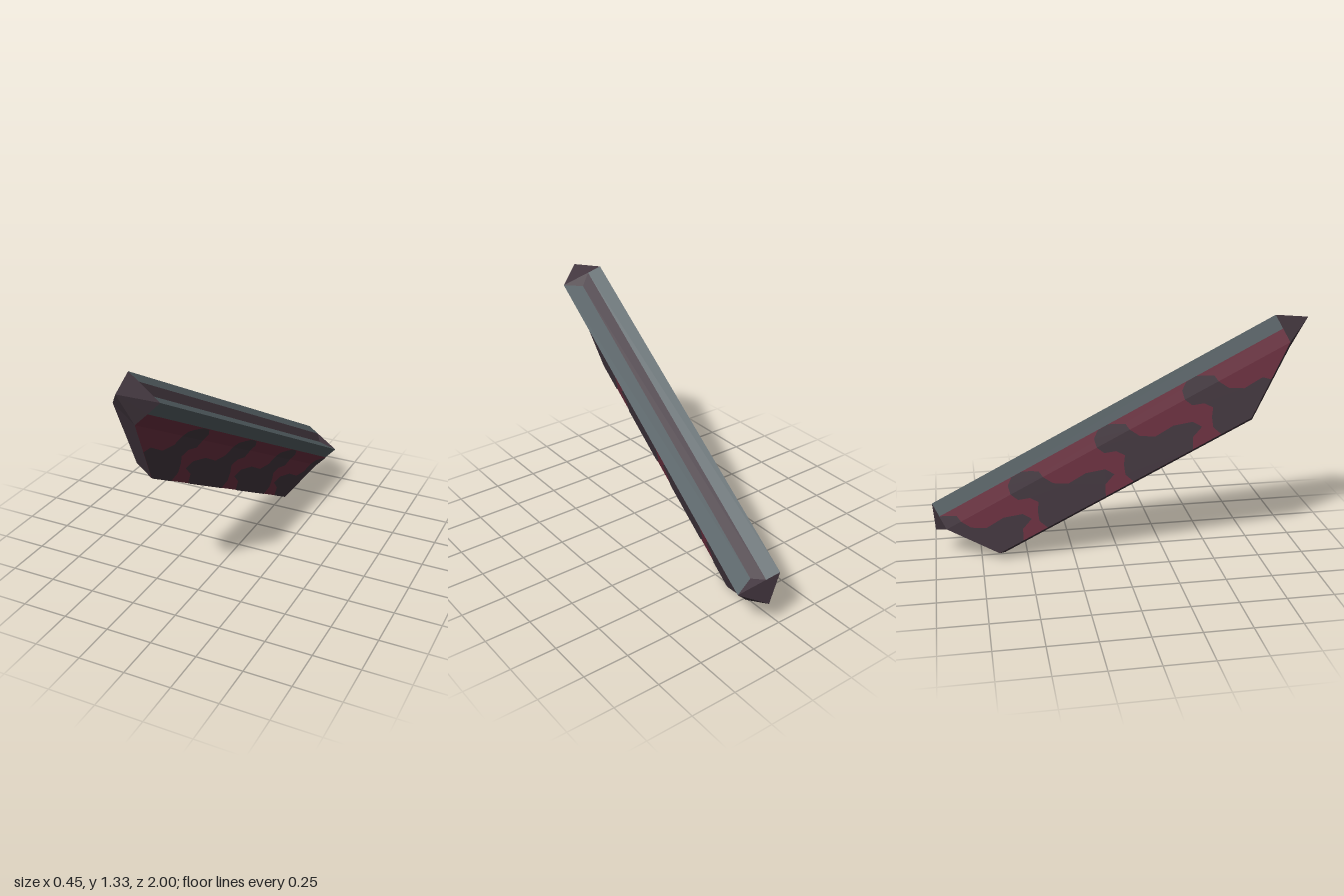
import * as THREE from 'three';

export function createModel() {
  const root = new THREE.Group();
  root.name = 'tiltedBar';
  const mat = (name, color) => {
    const m = new THREE.MeshStandardMaterial({ color });
    m.name = name;
    return m;
  };
  const grey = mat('slateGrey', 0x566165);
  const red = mat('darkRed', 0x6c3040);
  const purple = mat('duskyPurple', 0x43373f);

  // Bar frame: local x is width, y is up out of the top face, z runs to the front tip
  const front = new THREE.Vector3(-0.091, 0.485, 0.87).normalize();
  const across = new THREE.Vector3(0.88, -0.385, 0.307);
  across.addScaledVector(front, -across.dot(front)).normalize();
  const up = new THREE.Vector3().crossVectors(front, across);
  const bar = new THREE.Group();
  bar.name = 'bar';
  bar.applyMatrix4(new THREE.Matrix4().makeBasis(across, up, front).setPosition(0, 0.66, 0));
  root.add(bar);

  // Flat-faced mesh from convex polygons
  function addFaces(name, material, polygons) {
    const pos = [];
    for (const p of polygons)
      for (let i = 1; i < p.length - 1; i++) pos.push(...p[0], ...p[i], ...p[i + 1]);
    const g = new THREE.BufferGeometry();
    g.setAttribute('position', new THREE.Float32BufferAttribute(pos, 3));
    g.computeVertexNormals();
    const mesh = new THREE.Mesh(g, material);
    mesh.name = name;
    bar.add(mesh);
  }

  // Cross-section, counter-clockwise from the front: [x, y, front z, back z]
  const S = {
    topR: [0.075, 0.131, 1.04, -1.04],
    grooveLow: [-0.02, 0.108, 0.99, -0.99],
    grooveHigh: [-0.082, 0.131, 1.04, -1.04],
    topL: [-0.16, 0.131, 1.04, -1.04],
    seamL: [-0.143, 0.052, 1.04, -1.04],
    waistL: [-0.126, -0.027, 1.04, -1.04],
    baseL: [-0.039, -0.27, 0.68, -0.861],
    baseR: [0.077, -0.27, 0.68, -0.861],
    waistR: [0.038, -0.027, 1.04, -1.04],
    seamR: [0.057, 0.052, 1.04, -1.04],
  };
  const F = k => [S[k][0], S[k][1], S[k][2]];
  const B = k => [S[k][0], S[k][1], S[k][3]];
  const strip = (i, j) => [F(i), B(i), B(j), F(j)];

  // Long faces
  addFaces('topPlates', grey, [strip('topR', 'grooveLow'), strip('grooveHigh', 'topL')]);
  addFaces('topStripe', purple, [strip('grooveLow', 'grooveHigh')]);
  addFaces('upperSides', grey, [strip('topL', 'seamL'), strip('seamR', 'topR')]);
  addFaces('sidePanels', red, [
    strip('seamL', 'waistL'), strip('waistL', 'baseL'),
    strip('baseR', 'waistR'), strip('waistR', 'seamR'),
  ]);
  addFaces('underside', purple, [strip('baseL', 'baseR')]);

  // Pointed ends
  const ring = ['topR', 'grooveHigh', 'topL', 'seamL', 'waistL', 'waistR', 'seamR'];
  const tipF = [-0.045, 0.057, 1.191], tipB = [-0.045, 0.01, -1.12];
  const endF = [[F('waistL'), F('baseL'), F('baseR'), F('waistR')],
    [F('grooveLow'), F('grooveHigh'), F('topR')]];
  const endB = [[B('waistR'), B('baseR'), B('baseL'), B('waistL')],
    [B('grooveLow'), B('topR'), B('grooveHigh')]];
  ring.forEach((k, i) => {
    const n = ring[(i + 1) % ring.length];
    endF.push([tipF, F(k), F(n)]);
    endB.push([tipB, B(n), B(k)]);
  });
  addFaces('frontPoint', purple, endF);
  addFaces('backPoint', purple, endB);

  // Dark patches on the side panels: outlines as [along, height], folded at the waist
  const head = [[0.09, -0.027], [0.085, 0.01], [0.04, 0.035], [0.0, 0.052], [-0.06, 0.05],
    [-0.1, 0.02], [-0.11, -0.027]];
  const body = [[0.09, -0.027], [0.12, -0.08], [0.19, -0.12], [0.3, -0.115], [0.4, -0.145],
    [0.43, -0.19], [0.36, -0.215], [0.33, -0.27], [-0.03, -0.27], [-0.05, -0.22],
    [-0.03, -0.17], [0.0, -0.13], [-0.03, -0.09], [-0.09, -0.07], [-0.11, -0.027]];
  const lerp = THREE.MathUtils.lerp;

  function addPatch(name, outline, shift, side, topKey, lowKey) {
    const t = S[topKey], l = S[lowKey];
    const along = y => (y - t[1]) / (l[1] - t[1]);
    const pts = outline.map(([c, y]) => {
      const k = along(y);
      const z = THREE.MathUtils.clamp(c + shift, lerp(t[3], l[3], k), lerp(t[2], l[2], k));
      return new THREE.Vector2(-side * z, y);
    });
    const g = new THREE.ShapeGeometry(new THREE.Shape(pts));
    const p = g.attributes.position;
    for (let i = 0; i < p.count; i++) {
      const y = p.getY(i);
      p.setXYZ(i, lerp(t[0], l[0], along(y)) + side * 0.003, y, -side * p.getX(i));
    }
    g.computeVertexNormals();
    const mesh = new THREE.Mesh(g, purple);
    mesh.name = name;
    bar.add(mesh);
  }
  for (const [side, s] of [[1, 'R'], [-1, 'L']])
    for (const shift of [0.53, 0, -0.53, -1.04]) {
      addPatch('patchHead', head, shift, side, 'seam' + s, 'waist' + s);
      addPatch('patchBody', body, shift, side, 'waist' + s, 'base' + s);
    }

  return root;
}
